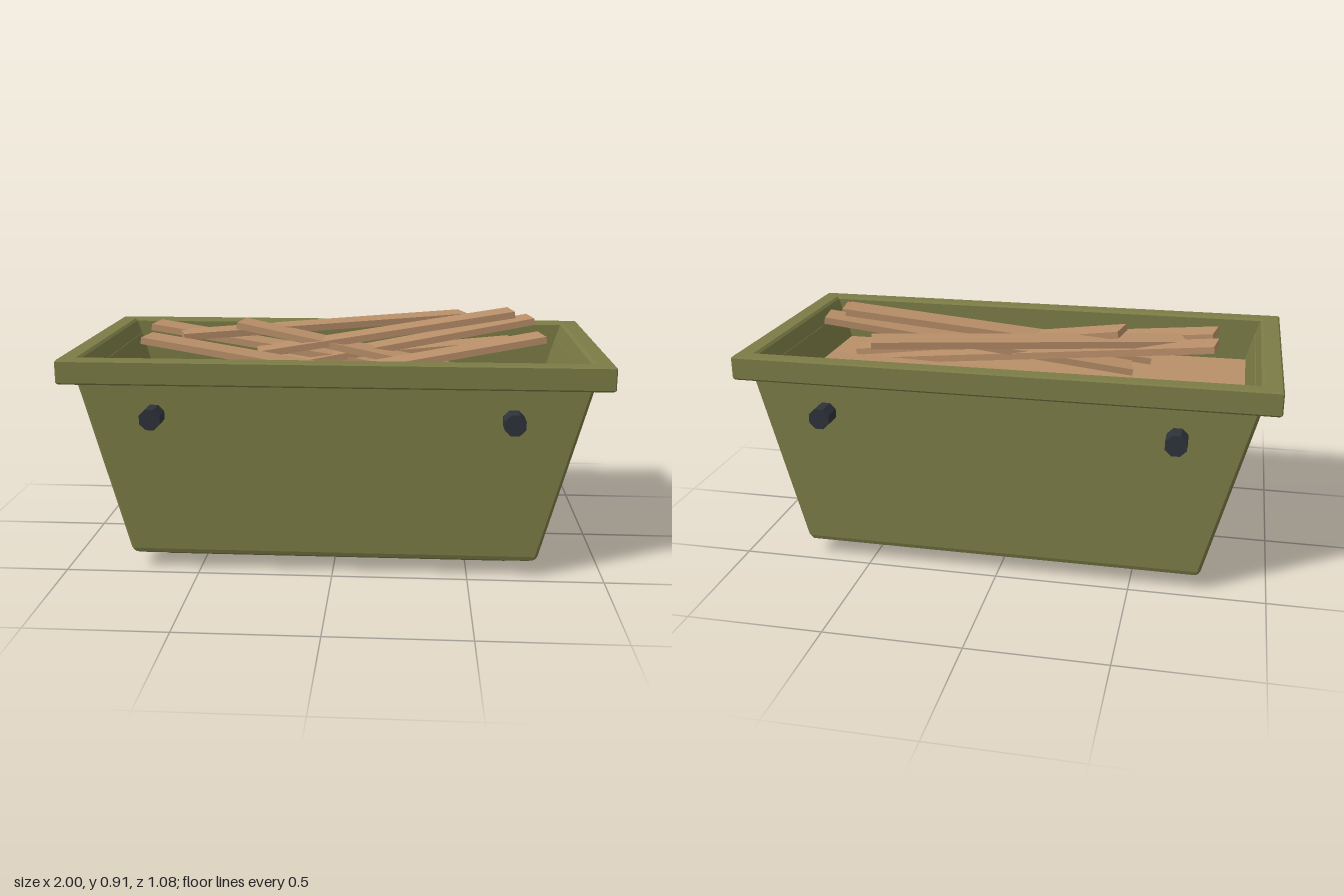
import * as THREE from 'three';

const paint = (color) => new THREE.MeshStandardMaterial({ color, flatShading: true });

// Skin through chamfered rectangles given as [y, halfX, halfZ, chamfer]
function loft(rings) {
  const pos = [], idx = [];
  for (const [y, hx, hz, c] of rings) {
    for (const [x, z] of [
      [hx, -hz + c], [hx, hz - c], [hx - c, hz], [-hx + c, hz],
      [-hx, hz - c], [-hx, -hz + c], [-hx + c, -hz], [hx - c, -hz],
    ]) pos.push(x, y, z);
  }
  for (let r = 0; r < rings.length - 1; r++) {
    for (let i = 0; i < 8; i++) {
      const a = r * 8 + i, b = r * 8 + (i + 1) % 8;
      idx.push(a, a + 8, b, b, a + 8, b + 8);
    }
  }
  const g = new THREE.BufferGeometry();
  g.setAttribute('position', new THREE.Float32BufferAttribute(pos, 3));
  g.setIndex(idx);
  g.computeVertexNormals();
  return g;
}

export function createModel() {
  const model = new THREE.Group();
  model.name = 'dumpster';
  const olive = paint(0x7b7c46), wood = paint(0xb98f69), dark = paint(0x2e333b);

  const add = (name, geometry, material, x = 0, y = 0, z = 0) => {
    const m = new THREE.Mesh(geometry, material);
    m.name = name;
    m.position.set(x, y, z);
    model.add(m);
    return m;
  };

  // Tapered tub: underside, outer walls, then inner walls down to the floor
  add('tub', loft([
    [0.057, 0, 0, 0],
    [0.057, 0.735, 0.445, 0.012],
    [0.065, 0.752, 0.46, 0.012],
    [0.08, 0.76, 0.465, 0.012],
    [0.74, 0.938, 0.465, 0.012],
    [0.74, 0.906, 0.428, 0.002],
    [0.12, 0.735, 0.428, 0.002],
    [0.12, 0, 0, 0],
  ]), olive);

  // Rim frame around the opening
  add('rim', loft([
    [0.714, 0.9, 0.43, 0.002],
    [0.714, 0.994, 0.49, 0.004],
    [0.72, 1, 0.495, 0.004],
    [0.798, 1, 0.495, 0.004],
    [0.804, 0.994, 0.489, 0.004],
    [0.804, 0.935, 0.438, 0.002],
    [0.795, 0.925, 0.428, 0.002],
    [0.714, 0.9, 0.428, 0.002],
  ]), olive);

  // Flat wood filling inside the tub
  add('fill', new THREE.BoxGeometry(1.75, 0.03, 0.858), wood, 0, 0.61, 0);

  // Skids under the floor
  const skid = loft([
    [0, 0, 0, 0],
    [0, 0.66, 0.024, 0.006],
    [0.012, 0.67, 0.035, 0.008],
    [0.045, 0.67, 0.035, 0.008],
    [0.06, 0.66, 0.024, 0.006],
    [0.06, 0, 0, 0],
  ]);
  for (const s of [1, -1]) add('skid', skid, olive, 0, 0, s * 0.285);

  // Octagonal lifting pins on front and back
  const pin = new THREE.CylinderGeometry(0.041, 0.041, 0.1, 8);
  pin.rotateY(Math.PI / 8).rotateX(Math.PI / 2);
  for (const x of [-0.65, 0.65])
    for (const s of [1, -1]) add('liftingPin', pin, dark, x, 0.6, s * 0.49);

  // Loose planks, each from its left end to its right end
  const planks = [
    [[-0.63, 0.815, 0.015], [0.5, 0.85, -0.35]],
    [[-0.48, 0.64, 0.33], [0.78, 0.84, 0.12]],
    [[-0.75, 0.82, 0.12], [0.47, 0.66, 0.31]],
    [[-0.76, 0.835, -0.1], [0.56, 0.66, 0.07]],
    [[-0.4, 0.855, -0.04], [0.72, 0.66, 0.155]],
    [[-0.32, 0.76, 0.07], [0.68, 0.9, -0.095]],
    [[-0.43, 0.67, 0.08], [0.76, 0.87, -0.12]],
    [[-0.48, 0.66, -0.15], [0.7, 0.75, -0.29]],
  ];
  const up = new THREE.Vector3(0, 1, 0);
  for (const [l, r] of planks) {
    const a = new THREE.Vector3(...l), b = new THREE.Vector3(...r);
    const along = b.clone().sub(a), length = along.length();
    along.normalize();
    const across = along.clone().cross(up).normalize();
    const m = add('plank', new THREE.BoxGeometry(length, 0.026, 0.12), wood);
    m.position.copy(a).add(b).multiplyScalar(0.5);
    m.quaternion.setFromRotationMatrix(
      new THREE.Matrix4().makeBasis(along, across.clone().cross(along), across));
  }
  return model;
}
